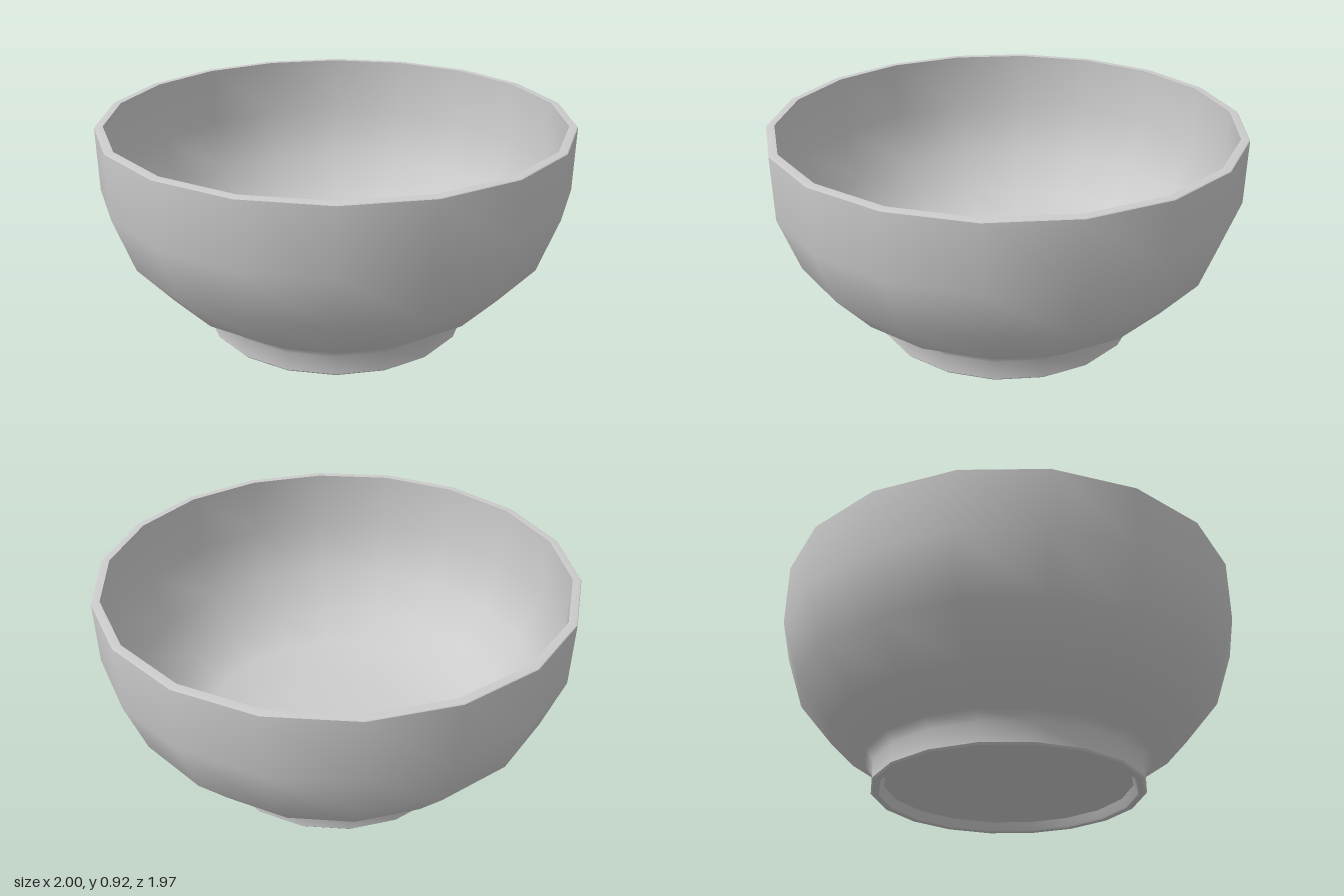
import * as THREE from 'three';

const SIDES = 18;

export function createModel() {
  const group = new THREE.Group();
  group.name = 'bowl';
  const ceramic = new THREE.MeshStandardMaterial({ color: 0xcccccc });
  ceramic.name = 'grey ceramic';

  // Turns a [radius, height] profile; each part is smooth, with a sharp edge where parts meet
  const turn = (name, profile) => {
    const points = profile.map(([r, y]) => new THREE.Vector2(r, y));
    const mesh = new THREE.Mesh(new THREE.LatheGeometry(points, SIDES, Math.PI / 2), ceramic);
    mesh.name = name;
    group.add(mesh);
  };

  // Recessed base and foot ring
  turn('baseUnderside', [[0, 0.04], [0.53, 0.04]]);
  turn('footInnerWall', [[0.53, 0.04], [0.545, 0.008], [0.55, 0]]);
  turn('footBottom', [[0.55, 0], [0.578, 0]]);
  turn('footBevel', [[0.578, 0], [0.585, 0.008]]);

  // Foot wall flowing into the rounded outside
  turn('outerWall', [
    [0.585, 0.008], [0.585, 0.09], [0.617, 0.13], [0.77, 0.235],
    [0.92, 0.415], [1, 0.65], [1, 0.92],
  ]);

  // Flat rim with a fine bevel
  turn('rim', [[1, 0.92], [0.996, 0.924], [0.965, 0.924]]);

  // Rounded inside
  turn('innerWall', [
    [0.965, 0.924], [0.965, 0.655], [0.888, 0.43], [0.747, 0.26],
    [0.6, 0.16], [0.3, 0.125], [0, 0.12],
  ]);

  return group;
}
